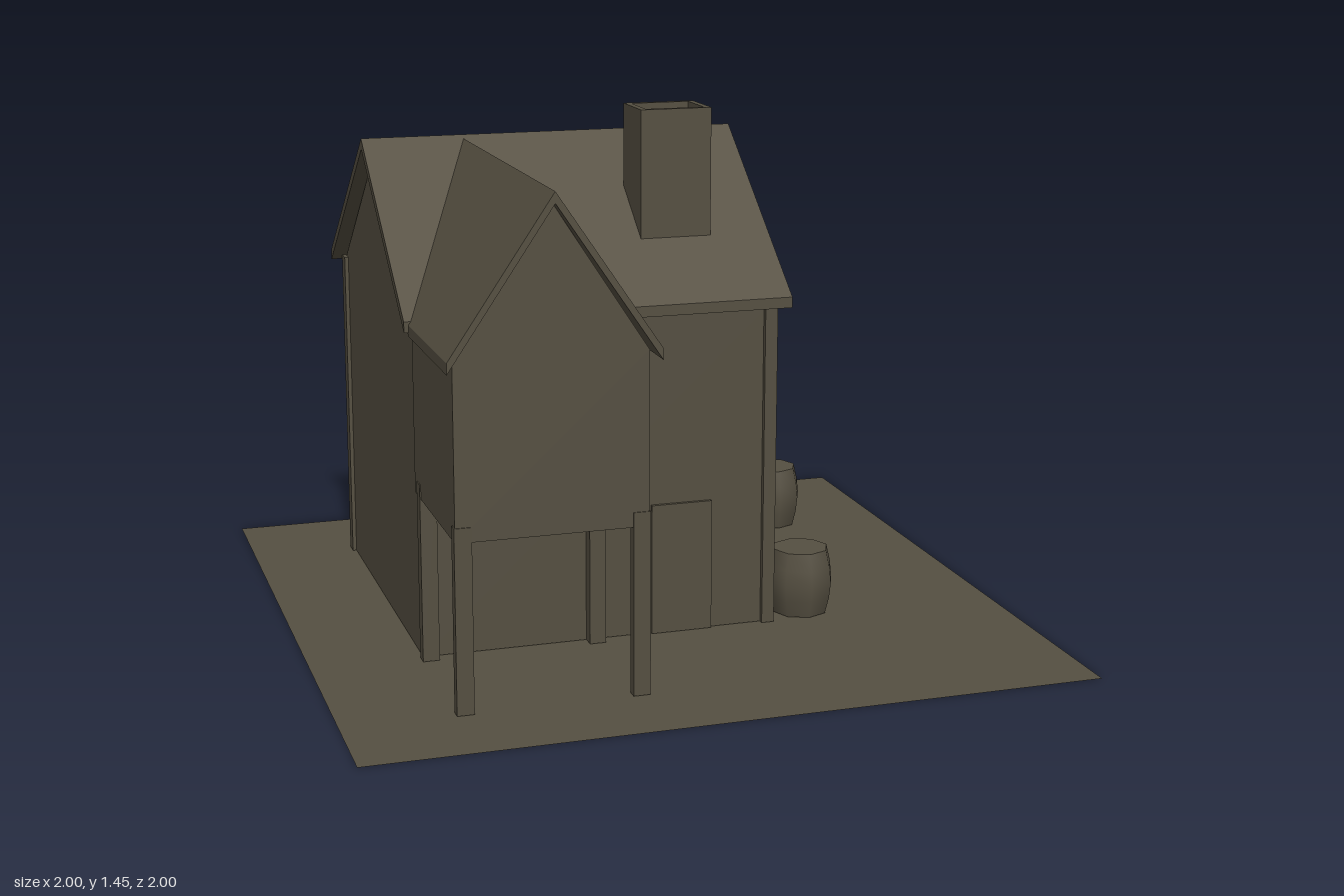
import * as THREE from 'three';

const timber = new THREE.MeshStandardMaterial({ color: 0x554f41, side: THREE.DoubleSide });
timber.name = 'weathered timber';

const shapeOf = (pts) => new THREE.Shape(pts.map(([x, y]) => new THREE.Vector2(x, y)));

// Five-sided house end: straight walls with a pointed top
const gable = (c, half, base, eave, peak) => shapeOf([
  [c - half, base], [c + half, base], [c + half, eave], [c, peak], [c - half, eave]]);

// Two sloping roof boards seen end on
const chevron = (c, half, eave, peak, t) => shapeOf([
  [c - half, eave - t], [c, peak - t], [c + half, eave - t],
  [c + half, eave], [c, peak], [c - half, eave]]);

const extrude = (shape, from, to) =>
  new THREE.ExtrudeGeometry(shape, { depth: to - from, bevelEnabled: false }).translate(0, 0, from);

export function createModel() {
  const group = new THREE.Group();
  const add = (name, geometry, parent = group) => {
    const mesh = new THREE.Mesh(geometry, timber);
    mesh.name = name;
    parent.add(mesh);
    return mesh;
  };
  const box = (name, x0, x1, y0, y1, z0, z1) => add(name,
    new THREE.BoxGeometry(x1 - x0, y1 - y0, z1 - z0)
      .translate((x0 + x1) / 2, (y0 + y1) / 2, (z0 + z1) / 2));

  add('ground', new THREE.PlaneGeometry(2, 2).rotateX(-Math.PI / 2));

  // Main house, its ridge running along x
  add('houseWalls', extrude(gable(0.19, 0.505, 0.002, 0.93, 1.325), -0.69, 0.31).rotateY(Math.PI / 2));
  add('mainRoof', extrude(chevron(0.19, 0.54, 0.945, 1.355, 0.03), -0.73, 0.355).rotateY(Math.PI / 2));

  // Corner boards
  for (const [x, z] of [[0.303, 0.308], [0.303, -0.688], [-0.683, -0.688]]) {
    box('cornerPost', x - 0.018, x + 0.018, 0.002, 0.93, z - 0.022, z + 0.022);
  }

  // Raised front wing on posts
  add('wingWalls', extrude(gable(-0.44, 0.255, 0.46, 0.925, 1.315), 0.28, 0.757));
  const wingRoof = extrude(chevron(-0.44, 0.278, 0.935, 1.345, 0.03), -0.19, 0.8);
  // Slant the rear end so that it follows the slope of the main roof
  const p = wingRoof.attributes.position;
  for (let i = 0; i < p.count; i++) {
    if (p.getZ(i) < 0) p.setZ(i, THREE.MathUtils.mapLinear(p.getY(i), 0.92, 1.345, 0.33, -0.18));
  }
  wingRoof.computeVertexNormals();
  add('wingRoof', wingRoof);
  for (const x of [-0.675, -0.205]) {
    box('wingFrontPost', x - 0.023, x + 0.023, 0.002, 0.5, 0.73, 0.76);
    box('wingBackPost', x - 0.023, x + 0.023, 0.002, 0.5, 0.315, 0.353);
  }

  // Front door
  box('door', -0.04, 0.135, 0.002, 0.375, 0.315, 0.325);

  // Open chimney
  const rect = (x0, x1, y0, y1) => [[x0, y0], [x1, y0], [x1, y1], [x0, y1]];
  const flue = shapeOf(rect(-0.02, 0.183, -0.155, 0.01));
  flue.holes.push(shapeOf(rect(-0.002, 0.165, -0.138, -0.007)));
  add('chimney', extrude(flue, 1.05, 1.45).rotateX(-Math.PI / 2));
  box('chimneyFloor', -0.01, 0.175, 1.2, 1.25, 0, 0.145);

  // Eight-sided barrels
  const stave = [[0.08, 0.002], [0.092, 0.05], [0.097, 0.095], [0.092, 0.14], [0.08, 0.19]];
  const staves = new THREE.LatheGeometry(stave.map(([r, y]) => new THREE.Vector2(r, y)), 8);
  const lid = new THREE.CircleGeometry(0.08, 8).rotateX(-Math.PI / 2).translate(0, 0.19, 0);
  for (const [x, z] of [[0.43, -0.57], [0.645, -0.57], [0.43, -0.335], [0.43, 0.25]]) {
    const barrel = new THREE.Group();
    barrel.name = 'barrel';
    barrel.position.set(x, 0, z);
    add('barrelStaves', staves, barrel);
    add('barrelLid', lid, barrel);
    group.add(barrel);
  }
  return group;
}
